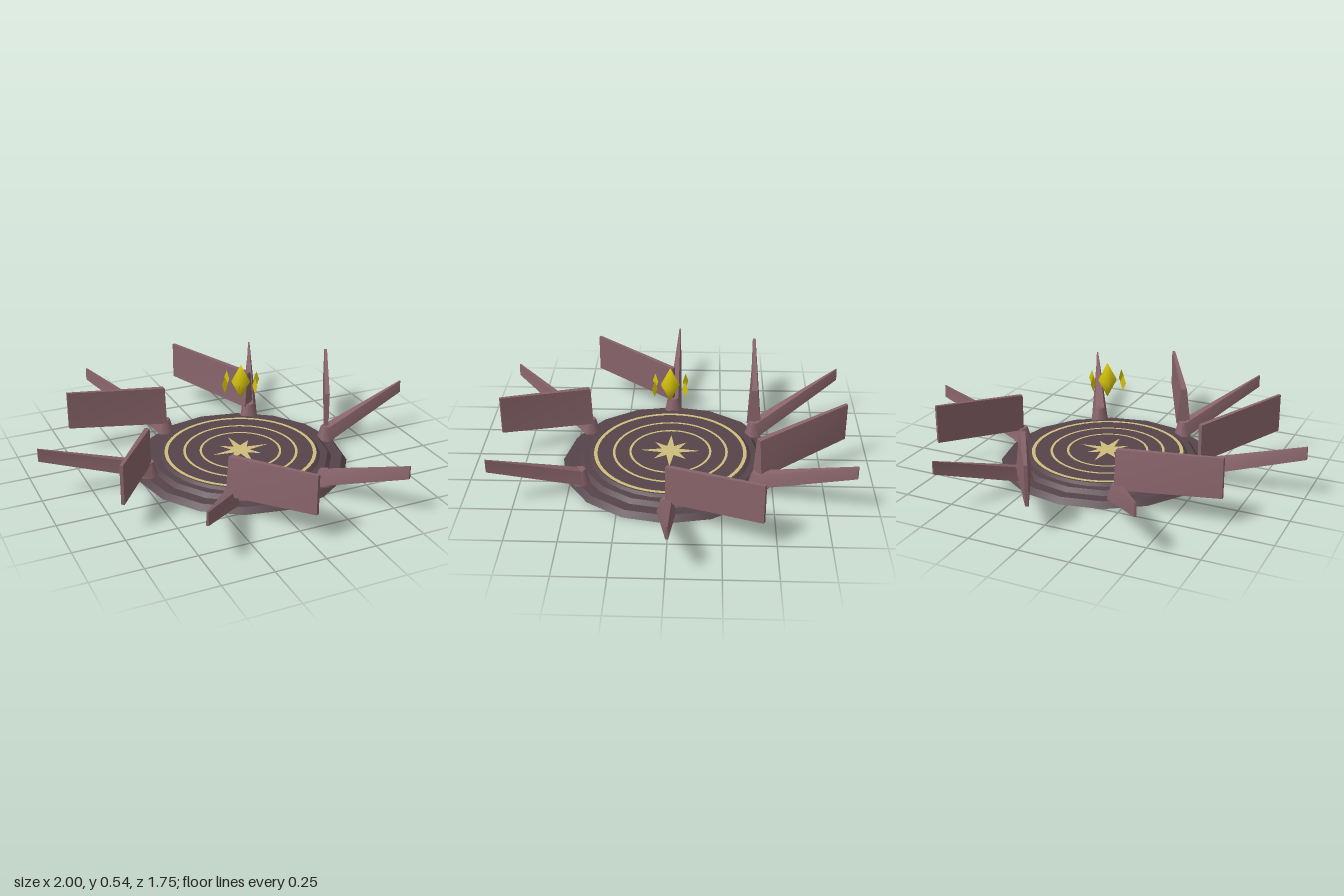
import * as THREE from 'three';

const mat = (name, color, side = THREE.FrontSide) => {
  const m = new THREE.MeshStandardMaterial({ color, side });
  m.name = name;
  return m;
};

// Tapered slab between two ground points; each end has its own heights and widths.
function slab(a, b, yIn, yOut, wIn, wOut) {
  const g = new THREE.BoxGeometry(1, 1, 1);
  const p = g.attributes.position;
  const d = new THREE.Vector2().subVectors(b, a).normalize();
  for (let i = 0; i < p.count; i++) {
    const outer = p.getX(i) > 0, top = p.getY(i) > 0 ? 1 : 0;
    const end = outer ? b : a;
    const w = (outer ? wOut : wIn)[top] * p.getZ(i);
    p.setXYZ(i, end.x - d.y * w, (outer ? yOut : yIn)[top], end.y + d.x * w);
  }
  g.computeVertexNormals();
  return g;
}

export function createModel() {
  const stone = mat('dark stone', 0x55444a);
  const horn = mat('mauve horn', 0x87636a);
  const inlay = mat('pale gold', 0xcfbc7c, THREE.DoubleSide);
  const gold = mat('bright gold', 0xd6c40c, THREE.DoubleSide);

  const model = new THREE.Group();
  const cx = 0.04, cz = 0.01;
  const add = (name, geo, m, x = 0, y = 0, z = 0, parent = model) => {
    const mesh = new THREE.Mesh(geo, m);
    mesh.name = name;
    mesh.position.set(x, y, z);
    parent.add(mesh);
    return mesh;
  };

  // Stepped round platform
  const tiers = [
    ['lowerTier', 0.525, 0.55, 0, 0.028, 16],
    ['middleTier', 0.45, 0.47, 0.028, 0.048, 16],
    ['upperTier', 0.395, 0.41, 0.048, 0.06, 32],
  ];
  for (const [name, rTop, rBottom, y0, y1, sides] of tiers) {
    const g = new THREE.CylinderGeometry(rTop, rBottom, y1 - y0, sides);
    add(name, g, stone, cx, (y0 + y1) / 2, cz);
  }

  // Inlaid rings and eight-pointed star
  for (const [r0, r1] of [[0.372, 0.39], [0.281, 0.294], [0.198, 0.21]]) {
    add('inlayRing', new THREE.RingGeometry(r0, r1, 48).rotateX(-Math.PI / 2), inlay, cx, 0.063, cz);
  }
  const star = new THREE.Shape();
  for (let i = 0; i < 16; i++) {
    const r = i % 2 ? 0.048 : i % 4 ? 0.115 : 0.155;
    const a = i * Math.PI / 8;
    star[i ? 'lineTo' : 'moveTo'](r * Math.cos(a), r * Math.sin(a));
  }
  add('star', new THREE.ShapeGeometry(star).rotateX(-Math.PI / 2), inlay, cx, 0.065, cz);

  // Six posts, each with a spike; five also carry a broad blade
  for (let k = 0; k < 6; k++) {
    const a = k * Math.PI / 3, b = a - Math.PI / 6;
    const spot = (x, z, r, t) => new THREE.Vector2(x + r * Math.cos(t), z + r * Math.sin(t));
    const foot = spot(cx, cz, 0.5, a);
    const post = new THREE.Group();
    post.name = 'post' + (k + 1);
    model.add(post);
    add('postBase', new THREE.CylinderGeometry(0.028, 0.048, 0.075, 6), horn, foot.x, 0.065, foot.y, post);
    add('spike', slab(foot, spot(0, -0.01, 1, a), [0.03, 0.1], [0.21, 0.275], [0.09, 0.05], [0.012, 0.008]),
      horn, 0, 0, 0, post);
    if (k === 1) continue;
    const taper = k % 3 ? [0.075, 0.03] : [0.025, 0.025];
    add('blade', slab(foot, spot(0.02, 0, 0.87, b), [0.09, 0.285], [0.145, 0.342], taper, [0.016, 0.016]),
      horn, 0, 0, 0, post);
  }

  // Floating crystal with a circle of small upright shards
  add('crystal', new THREE.SphereGeometry(1, 12, 2).scale(0.047, 0.09, 0.047), gold, cx, 0.445, cz);
  const shard = new THREE.Shape();
  shard.moveTo(0, -0.043);
  shard.lineTo(0.016, 0);
  shard.lineTo(0, 0.043);
  shard.lineTo(-0.016, 0);
  const shardGeo = new THREE.ShapeGeometry(shard);
  for (let k = 0; k < 6; k++) {
    const a = k * Math.PI / 3;
    const s = add('shard', shardGeo, gold, cx + 0.086 * Math.cos(a), 0.442, cz + 0.086 * Math.sin(a));
    s.rotation.y = -a;
  }
  return model;
}
